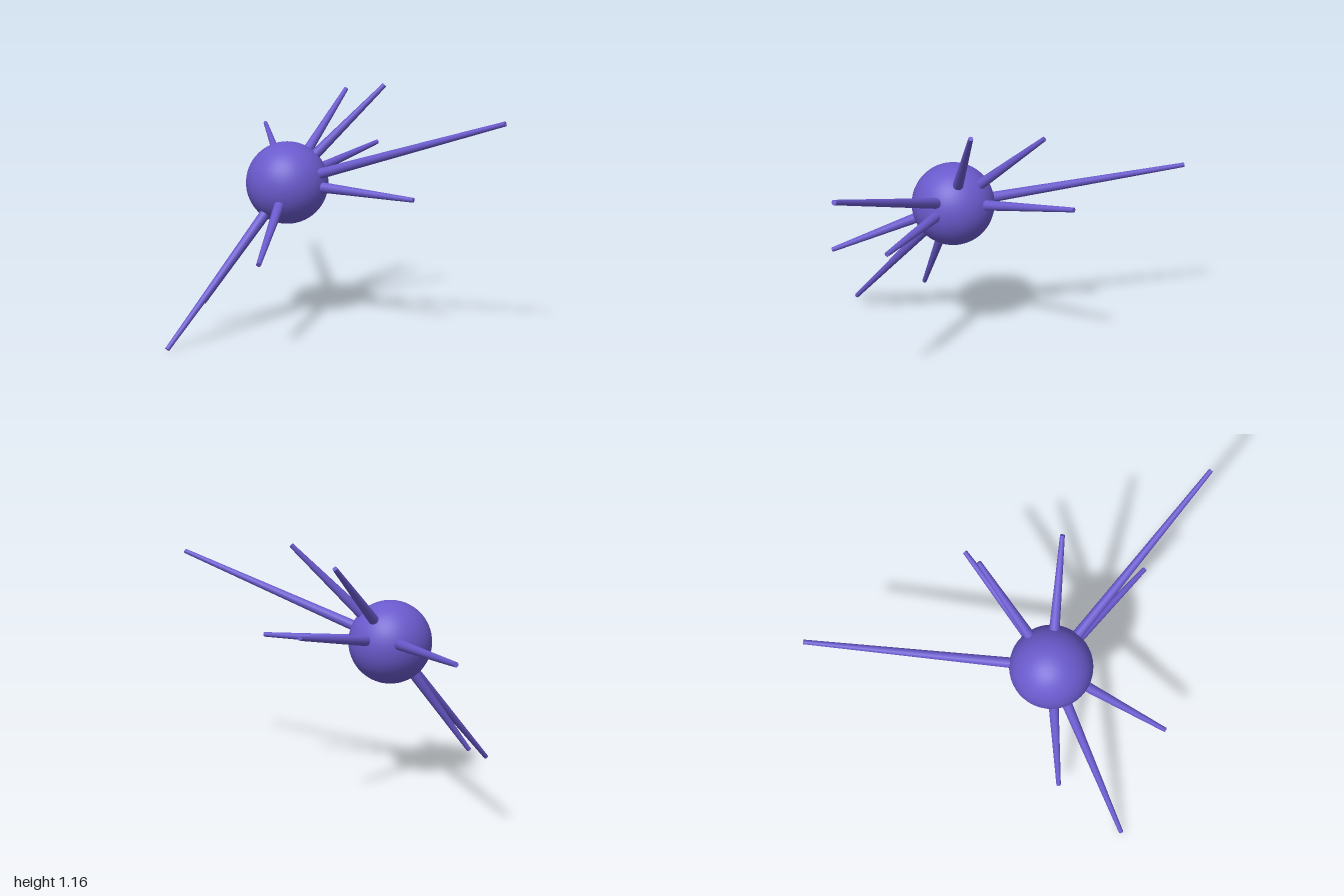
import * as THREE from 'three';

const CENTER = new THREE.Vector3(-0.07, 0.697, -0.017);
const RADIUS = 0.195;

// Centre of each spike's outer end
const TIPS = [
  [-0.99, 0.813, -0.683],
  [0.99, 1.063, -0.33],
  [0.215, 1.158, -0.375],
  [-0.157, 1.095, -0.484],
  [0.57, 0.681, -0.208],
  [-0.133, 0.813, -0.68],
  [0.27, 0.436, 0.457],
  [-0.106, 0.01, 0.682],
  [-0.258, 0.14, 0.346],
];

export function createModel() {
  const model = new THREE.Group();
  const material = new THREE.MeshStandardMaterial({ color: 0x6a5acd });

  // Round core
  const core = new THREE.Mesh(new THREE.SphereGeometry(RADIUS, 48, 32), material);
  core.name = 'core';
  core.position.copy(CENTER);
  model.add(core);

  // Tapered spikes radiating from the core, rooted just below its surface
  const spikes = new THREE.Group();
  spikes.name = 'spikes';
  const up = new THREE.Vector3(0, 1, 0);
  TIPS.forEach((p, i) => {
    const tip = new THREE.Vector3(...p);
    const dir = tip.clone().sub(CENTER).normalize();
    const base = CENTER.clone().addScaledVector(dir, RADIUS * 0.9);
    const spike = new THREE.Mesh(
      new THREE.CylinderGeometry(0.011, 0.025, base.distanceTo(tip), 16), material);
    spike.name = `spike${i + 1}`;
    spike.position.copy(base).lerp(tip, 0.5);
    spike.quaternion.setFromUnitVectors(up, dir);
    spikes.add(spike);
  });
  model.add(spikes);
  return model;
}
